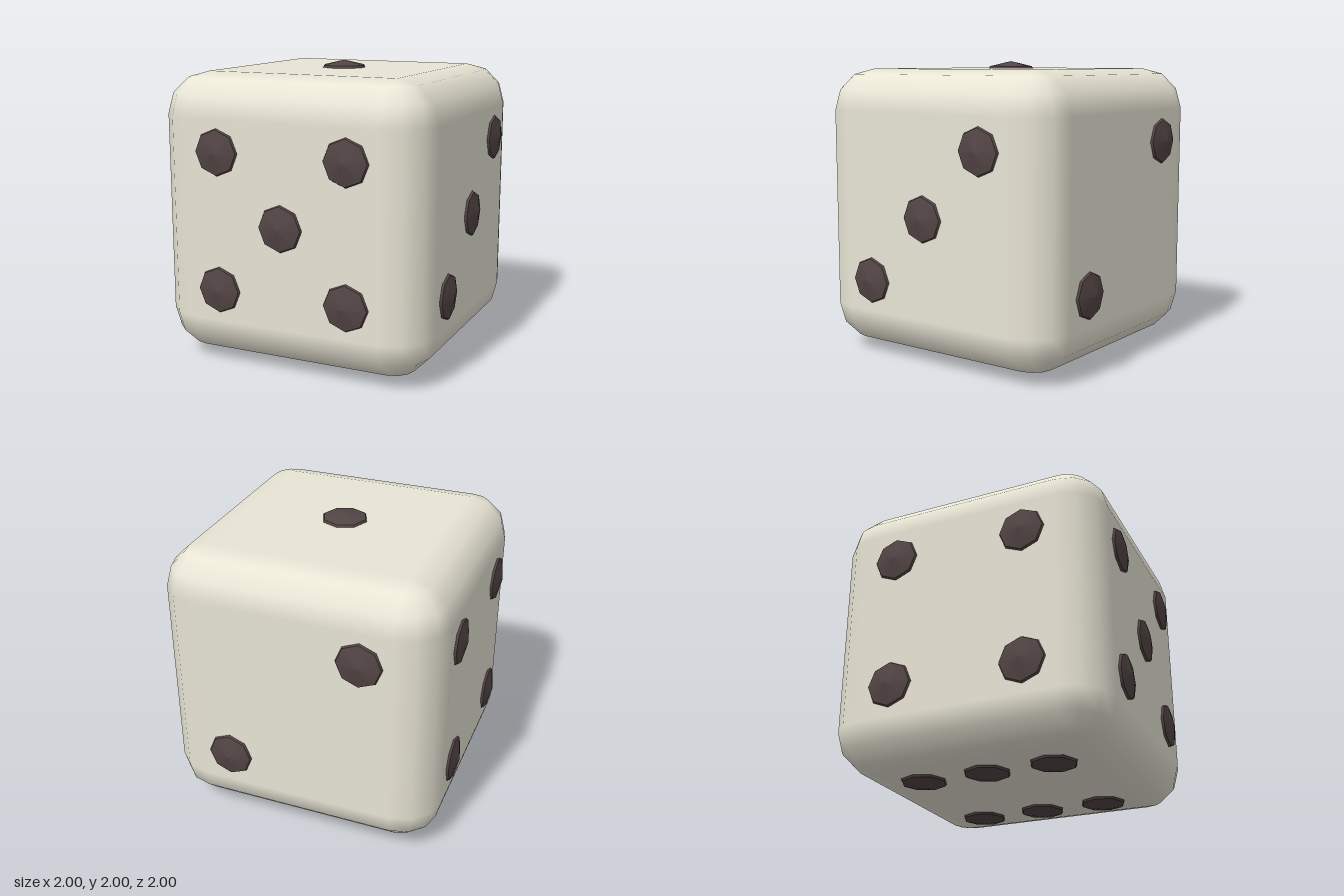
import * as THREE from 'three';
import { mergeGeometries } from 'three/addons/utils/BufferGeometryUtils.js';

const HALF = 0.95, RADIUS = 0.28, STEPS = 3, SPREAD = 0.457;

// Rounded cube: a sphere grid whose eight octants are pushed apart to the corners.
function roundedCube() {
  const core = HALF - RADIUS, quarter = Math.PI / 2;
  const pos = [], nor = [], idx = [];
  const rows = [], cols = [];
  for (let q = 0; q < 2; q++)
    for (let i = 0; i <= STEPS; i++) rows.push({ a: (q + i / STEPS) * quarter, sy: q ? -1 : 1 });
  for (let q = 0; q < 4; q++)
    for (let i = 0; i <= STEPS; i++)
      cols.push({ a: (q + i / STEPS) * quarter, sx: q === 0 || q === 3 ? 1 : -1, sz: q < 2 ? 1 : -1 });
  cols.push(cols[0]);

  const addCentre = (s) => cols.forEach(() => { pos.push(0, s * HALF, 0); nor.push(0, s, 0); });
  addCentre(1);
  for (const r of rows)
    for (const c of cols) {
      const n = [Math.sin(r.a) * Math.cos(c.a), Math.cos(r.a), Math.sin(r.a) * Math.sin(c.a)];
      pos.push(c.sx * core + n[0] * RADIUS, r.sy * core + n[1] * RADIUS, c.sz * core + n[2] * RADIUS);
      nor.push(...n);
    }
  addCentre(-1);

  const w = cols.length;
  for (let r = 0; r < rows.length + 1; r++)
    for (let c = 0; c < w - 1; c++) {
      const a = r * w + c, b = a + 1, d = a + w, e = d + 1;
      idx.push(a, b, d, b, e, d);
    }
  const g = new THREE.BufferGeometry();
  g.setAttribute('position', new THREE.Float32BufferAttribute(pos, 3));
  g.setAttribute('normal', new THREE.Float32BufferAttribute(nor, 3));
  g.setIndex(idx);
  return g;
}

// Pip: eight-sided low cone on a short bevelled rim, rising along +z from z = 0.
function pipGeometry() {
  const rim = new THREE.CylinderGeometry(0.148, 0.16, 0.025, 8, 1, true).translate(0, 0.0025, 0);
  const cap = new THREE.ConeGeometry(0.148, 0.035, 8, 1, true).translate(0, 0.0325, 0);
  return mergeGeometries([rim, cap]).rotateX(Math.PI / 2);
}

export function createModel() {
  const model = new THREE.Group();
  model.name = 'die';
  const bodyMat = new THREE.MeshStandardMaterial({ color: 0xe8e5d5 });
  const pipMat = new THREE.MeshStandardMaterial({ color: 0x544545 });

  const body = new THREE.Mesh(roundedCube(), bodyMat);
  body.name = 'body';
  body.position.y = 1;
  model.add(body);

  // Each face: rotation about x and y, and pip places (right, up) as seen facing it
  const q = Math.PI / 2;
  const corners = [[-1, 1], [1, 1], [-1, -1], [1, -1]];
  const faces = [
    { name: 'frontPips', rot: [0, 0], pips: [...corners, [0, 0]] },
    { name: 'rightSidePips', rot: [0, q], pips: [[1, 1], [0, 0], [-1, -1]] },
    { name: 'leftSidePips', rot: [0, -q], pips: corners },
    { name: 'backPips', rot: [0, 2 * q], pips: [[1, 1], [-1, -1]] },
    { name: 'topPips', rot: [-q, 0], pips: [[0, 0]] },
    { name: 'bottomPips', rot: [q, 0], pips: [...corners, [-1, 0], [1, 0]] },
  ];
  const pipGeo = pipGeometry();
  for (const f of faces) {
    const face = new THREE.Group();
    face.name = f.name;
    face.position.y = 1;
    face.rotation.set(f.rot[0], f.rot[1], 0);
    for (const [u, v] of f.pips) {
      const pip = new THREE.Mesh(pipGeo, pipMat);
      pip.name = 'pip';
      pip.position.set(u * SPREAD, v * SPREAD, HALF);
      face.add(pip);
    }
    model.add(face);
  }
  return model;
}
